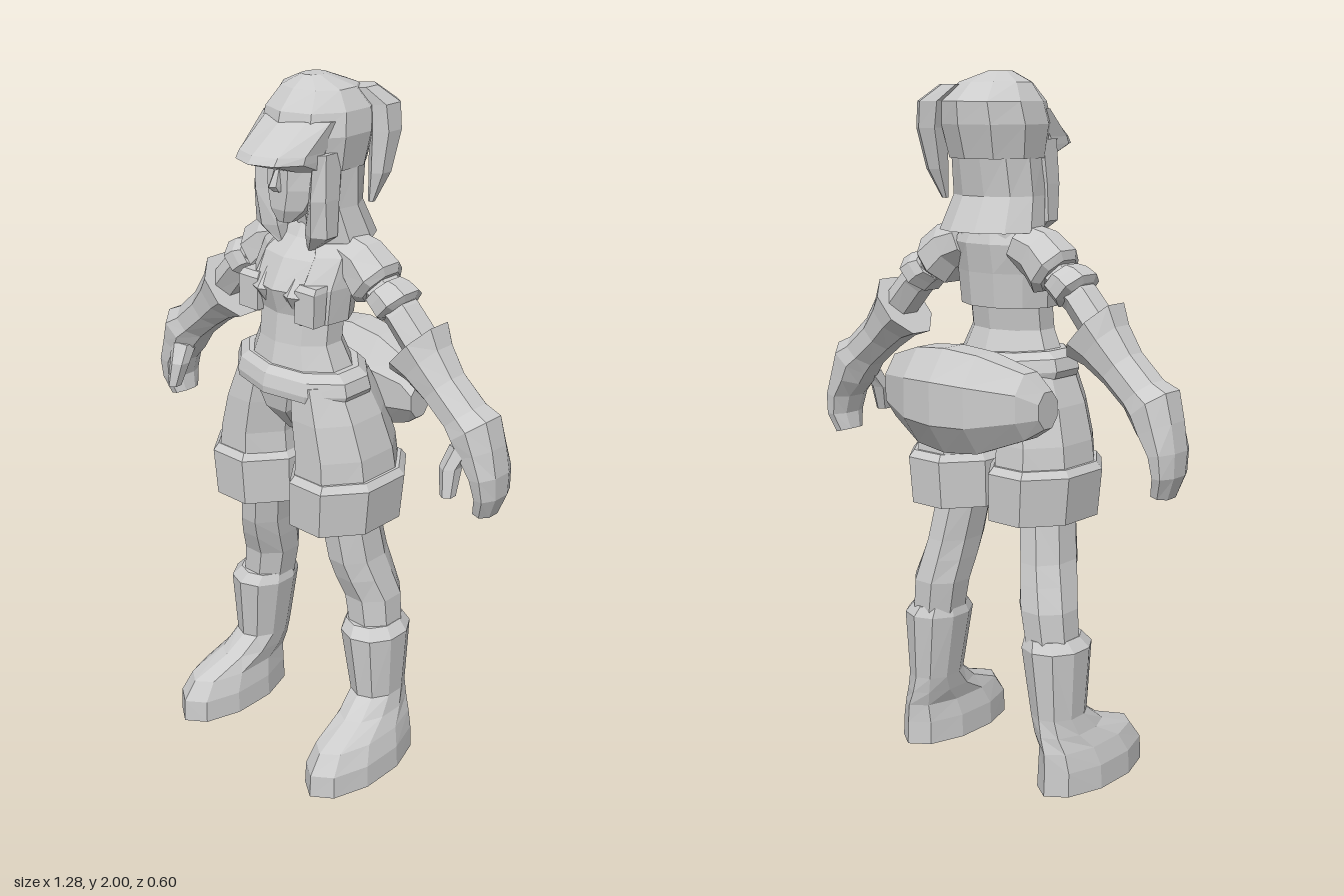
import * as THREE from 'three';

// Regular cross-section whose flat sides reach the unit extents
function ngon(n) {
  const r = 1 / Math.cos(Math.PI / n);
  return Array.from({ length: n }, (_, i) => {
    const a = ((i + 0.5) * 2 * Math.PI) / n;
    return [Math.cos(a) * r, Math.sin(a) * r];
  });
}

// C-shaped shell cross-section, open towards +z; gap is half the opening angle
function cShell(gap, inner, n = 9) {
  const at = (r, i) => {
    const a = Math.PI / 2 + gap + (i / n) * (2 * Math.PI - 2 * gap);
    return [Math.cos(a) * r, Math.sin(a) * r];
  };
  const pts = [];
  for (let i = 0; i <= n; i++) pts.push(at(1, i));
  for (let i = n; i >= 0; i--) pts.push(at(inner, i));
  return pts;
}

// Faceted skin over rings [x, y, z, halfU, halfZ, tilt in degrees]; side -1 mirrors x
function loft(rings, profile, side = 1) {
  const n = profile.length, pos = [];
  const pts = rings.map(([x, y, z, ru, rv, t = 0]) => {
    const a = THREE.MathUtils.degToRad(t);
    return profile.map(([u, v]) => [side * (x + u * ru * Math.cos(a)), y + u * ru * Math.sin(a), z + v * rv]);
  });
  const first = rings[0], last = rings[rings.length - 1];
  const a = THREE.MathUtils.degToRad(first[5] || 0);
  const along = (first[0] - last[0]) * Math.sin(a) + (last[1] - first[1]) * Math.cos(a);
  const flip = along * side < 0;
  const tri = (p, q, r) => (flip ? pos.push(...p, ...r, ...q) : pos.push(...p, ...q, ...r));
  for (let i = 0; i + 1 < pts.length; i++) {
    for (let j = 0; j < n; j++) {
      const k = (j + 1) % n;
      tri(pts[i][j], pts[i + 1][j], pts[i][k]);
      tri(pts[i][k], pts[i + 1][j], pts[i + 1][k]);
    }
  }
  // end caps
  const flat = THREE.ShapeUtils.triangulateShape(profile.map(([u, v]) => new THREE.Vector2(u, v)), []);
  const top = pts[pts.length - 1];
  for (const [p, q, r] of flat) {
    tri(pts[0][p], pts[0][q], pts[0][r]);
    tri(top[p], top[r], top[q]);
  }
  const g = new THREE.BufferGeometry();
  g.setAttribute('position', new THREE.Float32BufferAttribute(pos, 3));
  g.computeVertexNormals();
  return g;
}

export function createModel() {
  const model = new THREE.Group();
  model.name = 'figure';
  const grey = new THREE.MeshStandardMaterial({ color: 0xcccccc, flatShading: true, side: THREE.DoubleSide });
  grey.name = 'light grey';
  const six = ngon(6), eight = ngon(8), ten = ngon(10);

  const add = (name, rings, profile = eight, side = 1) => {
    const m = new THREE.Mesh(loft(rings, profile, side), grey);
    m.name = name;
    model.add(m);
  };
  const pair = (name, rings, profile = eight) => {
    add('left' + name, rings, profile, 1);
    add('right' + name, rings, profile, -1);
  };

  // Head: face, nose, neck
  add('face', [
    [0, 1.63, 0.105, 0.025, 0.025], [0, 1.665, 0.08, 0.06, 0.06],
    [0, 1.72, 0.055, 0.085, 0.085], [0, 1.82, 0.04, 0.09, 0.1],
  ]);
  add('nose', [[0, 1.715, 0.14, 0.013, 0.012], [0, 1.73, 0.145, 0.013, 0.024], [0, 1.78, 0.135, 0.007, 0.007]], six);
  add('neck', [[0, 1.54, -0.01, 0.06, 0.06], [0, 1.6, 0, 0.042, 0.045], [0, 1.7, 0.02, 0.045, 0.05]]);

  // Hair falling round the back and sides
  add('hair', [
    [0, 1.575, -0.035, 0.158, 0.13], [0, 1.67, -0.005, 0.137, 0.112],
    [0, 1.78, -0.01, 0.13, 0.125], [0, 1.86, -0.01, 0.125, 0.13],
  ], cShell(0.6, 0.8));
  pair('FrontLock', [
    [0.055, 1.55, 0.07, 0.008, 0.01], [0.09, 1.6, 0.07, 0.04, 0.035],
    [0.1, 1.7, 0.07, 0.03, 0.045], [0.105, 1.82, 0.06, 0.02, 0.05],
  ], six);

  // Cap, peak and the tuft hanging at its back left
  add('cap', [
    [0, 1.77, -0.01, 0.128, 0.13], [0, 1.86, -0.015, 0.142, 0.15], [0, 1.92, -0.025, 0.132, 0.145],
    [0, 1.97, -0.02, 0.1, 0.095], [0, 2.0, 0, 0.03, 0.035],
  ], ten);
  add('capPeak', [
    [0, 1.775, 0.06, 0.11, 0.09], [0, 1.805, 0.12, 0.112, 0.12],
    [0, 1.825, 0.115, 0.112, 0.11], [0, 1.9, 0.04, 0.12, 0.08],
  ], ten);
  add('capTuft', [
    [0.115, 1.66, -0.1, 0.008, 0.008], [0.125, 1.74, -0.12, 0.025, 0.03],
    [0.125, 1.85, -0.14, 0.034, 0.045], [0.115, 1.92, -0.14, 0.036, 0.05], [0.08, 1.965, -0.1, 0.03, 0.04],
  ], six);

  // Torso, open vest, belt
  add('torso', [
    [0, 1.18, 0.05, 0.175, 0.13], [0, 1.23, 0.05, 0.155, 0.115], [0, 1.3, 0.055, 0.125, 0.095],
    [0, 1.38, 0.045, 0.125, 0.095], [0, 1.45, 0.045, 0.135, 0.115],
    [0, 1.53, 0.015, 0.14, 0.1], [0, 1.575, -0.01, 0.125, 0.075], [0, 1.61, -0.01, 0.06, 0.055],
  ], ten);
  add('vest', [
    [0, 1.365, 0.045, 0.15, 0.125], [0, 1.46, 0.04, 0.158, 0.128],
    [0, 1.54, 0.005, 0.155, 0.105], [0, 1.6, -0.01, 0.1, 0.07],
  ], cShell(0.6, 0.88));
  pair('Pocket', [
    [0.105, 1.37, 0.13, 0.035, 0.022], [0.105, 1.46, 0.125, 0.035, 0.025], [0.105, 1.475, 0.115, 0.03, 0.022],
  ], ngon(4).map(([u, v]) => [(u + v) / 2 + (u - v) / 2, v]));
  pair('Bust', [
    [0.05, 1.4, 0.115, 0.03, 0.02], [0.055, 1.44, 0.125, 0.045, 0.035], [0.055, 1.52, 0.085, 0.03, 0.02],
  ], six);
  add('belt', [
    [0, 1.165, 0.045, 0.2, 0.15, -3], [0, 1.185, 0.045, 0.208, 0.152, -3],
    [0, 1.22, 0.045, 0.198, 0.143, -3], [0, 1.24, 0.045, 0.17, 0.125, -3],
  ], ten);

  // Waist pouch slung behind the hips
  add('waistPouch', [
    [-0.28, 1.12, -0.13, 0.05, 0.04, 90], [-0.24, 1.13, -0.155, 0.09, 0.065, 90],
    [-0.11, 1.125, -0.185, 0.135, 0.095, 90], [0, 1.125, -0.195, 0.145, 0.1, 90],
    [0.11, 1.125, -0.185, 0.135, 0.095, 90],
    [0.24, 1.13, -0.155, 0.09, 0.065, 90], [0.28, 1.12, -0.13, 0.05, 0.04, 90],
  ]);

  // Shorts: seat, wide legs, turned-up cuffs
  add('shortsSeat', [
    [0, 1.02, 0.03, 0.03, 0.06], [0, 1.1, 0.035, 0.09, 0.12], [0, 1.2, 0.045, 0.17, 0.13],
  ]);
  pair('ShortsLeg', [
    [0.15, 0.86, 0.02, 0.13, 0.165], [0.145, 1.0, 0.025, 0.115, 0.155],
    [0.125, 1.1, 0.035, 0.105, 0.142], [0.1, 1.2, 0.045, 0.085, 0.12],
  ]);
  pair('ShortsCuff', [
    [0.145, 0.785, 0.02, 0.135, 0.175], [0.152, 0.92, 0.02, 0.141, 0.18], [0.152, 0.94, 0.02, 0.125, 0.165],
  ]);

  // Legs and boots
  pair('Leg', [
    [0.22, 0.42, -0.03, 0.072, 0.078], [0.205, 0.53, -0.03, 0.078, 0.083], [0.19, 0.6, -0.01, 0.073, 0.09],
    [0.178, 0.66, 0.005, 0.068, 0.093], [0.16, 0.78, 0.02, 0.07, 0.09], [0.14, 0.95, 0.02, 0.08, 0.1],
  ]);
  pair('Boot', [
    [0.268, 0, 0.09, 0.093, 0.203], [0.268, 0.07, 0.09, 0.09, 0.2], [0.265, 0.125, 0.07, 0.076, 0.18],
    [0.25, 0.17, 0.01, 0.07, 0.12], [0.24, 0.22, -0.022, 0.068, 0.087],
    [0.228, 0.42, -0.02, 0.09, 0.105], [0.218, 0.45, -0.025, 0.073, 0.085],
  ], ten);

  // Arms: sleeve, bands, elbow, flared gauntlet, hand
  pair('Sleeve', [
    [0.1, 1.54, -0.02, 0.06, 0.06, 65], [0.16, 1.52, -0.02, 0.068, 0.068, 60],
    [0.21, 1.475, -0.02, 0.075, 0.078, 52], [0.225, 1.465, -0.02, 0.055, 0.06, 52],
  ]);
  pair('ArmBand', [
    [0.235, 1.46, -0.02, 0.05, 0.06, 50], [0.26, 1.45, -0.02, 0.056, 0.068, 50],
    [0.288, 1.43, -0.02, 0.06, 0.072, 48], [0.295, 1.42, -0.02, 0.045, 0.05, 48],
  ]);
  pair('Elbow', [[0.2, 1.48, -0.02, 0.045, 0.05, 52], [0.3, 1.41, -0.02, 0.042, 0.05, 48], [0.4, 1.3, -0.025, 0.045, 0.05, 48]], six);
  pair('Gauntlet', [
    [0.352, 1.332, -0.025, 0.1, 0.085, 48], [0.39, 1.295, -0.025, 0.075, 0.074, 48],
    [0.445, 1.24, -0.025, 0.06, 0.064, 46], [0.515, 1.18, -0.027, 0.058, 0.066, 42],
  ]);
  pair('Hand', [
    [0.515, 1.18, -0.027, 0.058, 0.066, 42], [0.55, 1.155, -0.027, 0.07, 0.076, 38],
    [0.572, 1.1, -0.03, 0.058, 0.072, 22], [0.6, 1.04, -0.032, 0.04, 0.07, 8],
    [0.607, 0.98, -0.035, 0.031, 0.062, 0], [0.59, 0.925, -0.035, 0.026, 0.045, -15],
  ]);
  pair('Thumb', [
    [0.54, 1.12, 0.005, 0.035, 0.035, 15], [0.525, 1.06, 0.04, 0.026, 0.028, 5], [0.533, 0.985, 0.058, 0.018, 0.02, 0],
  ], six);

  return model;
}
